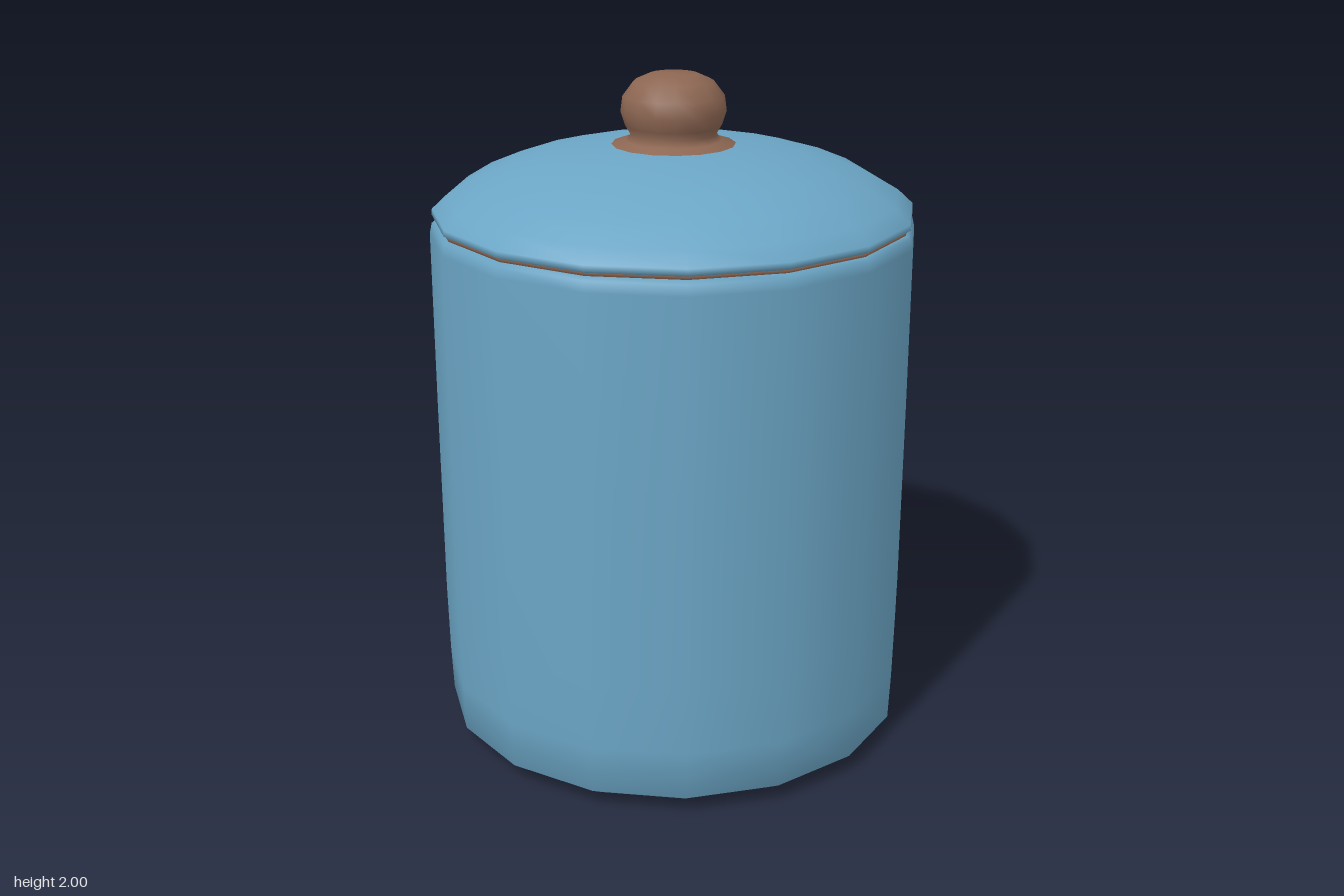
import * as THREE from 'three';

const blue = new THREE.MeshStandardMaterial({ color: 0x6ba5c5 });
blue.name = 'blue glaze';
const brown = new THREE.MeshStandardMaterial({ color: 0x8c6652 });
brown.name = 'brown wood';

// Turned part from [radius, height] pairs, listed bottom to top on the outside
function turned(name, profile, material, sides) {
  const points = profile.map(([r, y]) => new THREE.Vector2(r, y));
  const mesh = new THREE.Mesh(new THREE.LatheGeometry(points, sides), material);
  mesh.name = name;
  return mesh;
}

export function createModel() {
  const group = new THREE.Group();
  group.name = 'lidded jar';

  // Jar with a chamfered foot and a slightly rounded rim
  group.add(turned('jarBody', [
    [0, 0], [0.48, 0.002], [0.63, 0.01], [0.70, 0.055], [0.706, 0.2],
    [0.71, 0.4], [0.712, 1.0], [0.712, 1.54], [0.705, 1.57], [0.69, 1.582], [0.6, 1.582],
  ], blue, 16));

  // Thin seal showing in the gap under the lid
  group.add(turned('seal', [[0.6, 1.578], [0.692, 1.578], [0.692, 1.592], [0.6, 1.592]], brown, 16));

  // Domed lid
  group.add(turned('lid', [
    [0, 1.588], [0.69, 1.588], [0.705, 1.596], [0.703, 1.612], [0.66, 1.652],
    [0.58, 1.7], [0.48, 1.742], [0.37, 1.771], [0.25, 1.789], [0.14, 1.8], [0, 1.805],
  ], blue, 16));

  // Knob with a flared collar
  group.add(turned('knob', [
    [0.178, 1.785], [0.18, 1.797], [0.14, 1.808], [0.125, 1.825], [0.14, 1.85],
    [0.153, 1.89], [0.147, 1.935], [0.115, 1.977], [0.07, 1.997], [0, 2],
  ], brown, 16));

  return group;
}
